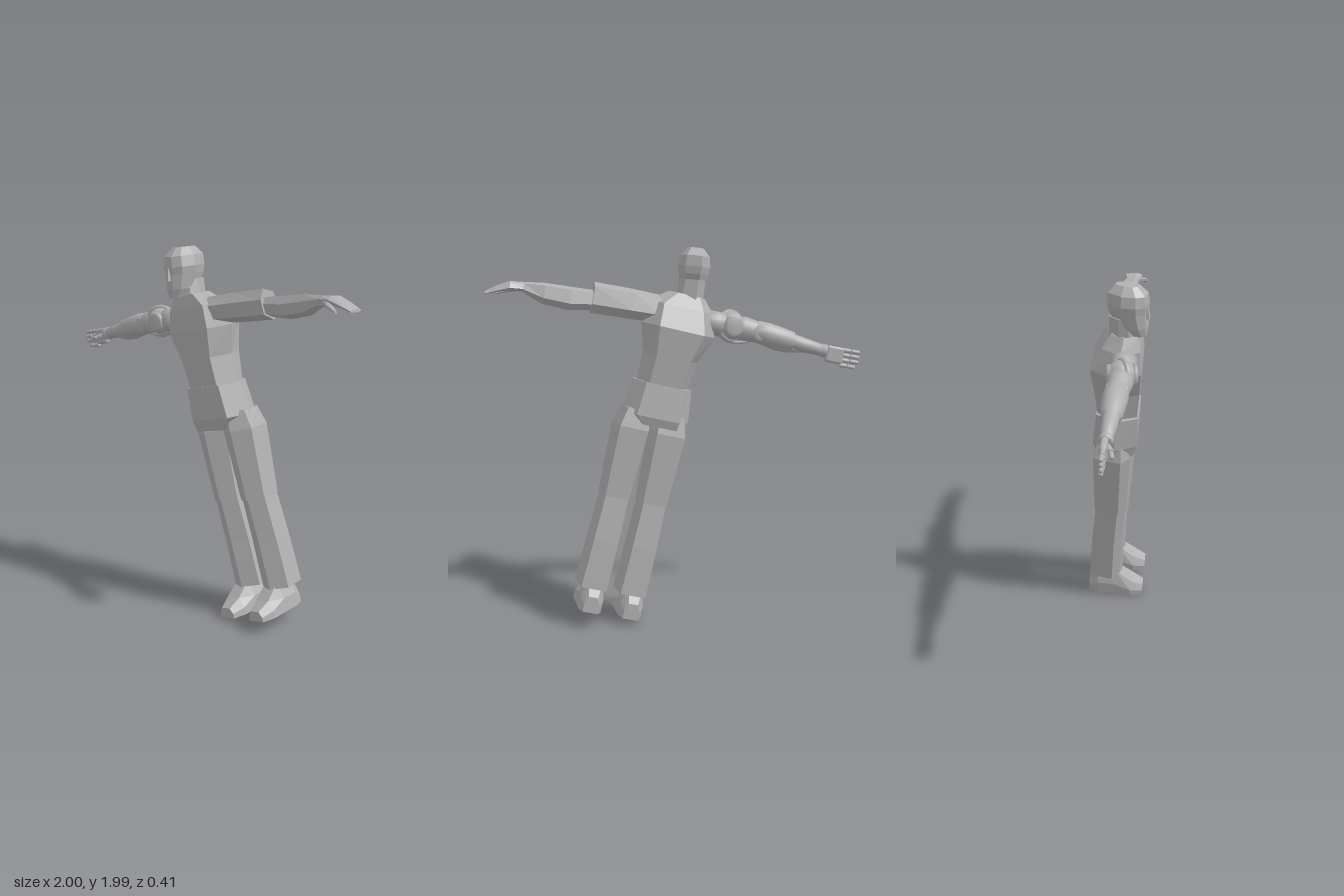
import * as THREE from 'three';
import { RoundedBoxGeometry } from 'three/addons/geometries/RoundedBoxGeometry.js';

const V = (x, y, z) => new THREE.Vector3(x, y, z);

// Cross-section outlines in (side, front) units
const HEX = [[0.72, 1], [1, 0], [0.6, -1], [-0.6, -1], [-1, 0], [-0.72, 1]];
const LEG = [[0.1, 1], [1, 0.4], [0.72, -1], [-0.72, -1], [-1, 0.4], [-0.5, 0.85]];
const OCT = [[0.45, 1], [0.9, 0.6], [1, -0.15], [0.5, -1], [-0.5, -1], [-1, -0.15], [-0.9, 0.6], [-0.45, 1]];
const DIAMOND = [[0.5, 1], [1, 0.35], [0.85, -0.6], [-0.3, -1], [-1, -0.4], [-0.7, 0.75]];
const WEDGE = [[1, 0], [0.7, 1], [-0.7, 1], [-1, 0]];

// Faceted closed skin through rings of equal length, always facing outwards
function loft(rings) {
  const n = rings[0].length, tris = [];
  for (let i = 0; i < rings.length - 1; i++) {
    for (let j = 0; j < n; j++) {
      const k = (j + 1) % n, [a, b] = [rings[i], rings[i + 1]];
      tris.push([a[j], a[k], b[k]], [a[j], b[k], b[j]]);
    }
  }
  const mid = r => r.reduce((s, p) => s.add(p), V(0, 0, 0)).divideScalar(n);
  const first = rings[0], last = rings[rings.length - 1];
  const c0 = mid(first), c1 = mid(last);
  for (let j = 0; j < n; j++) {
    const k = (j + 1) % n;
    tris.push([c0, first[k], first[j]], [c1, last[j], last[k]]);
  }
  let volume = 0;
  for (const [a, b, c] of tris) {
    volume += a.clone().sub(c0).dot(b.clone().sub(c0).cross(c.clone().sub(c0)));
  }
  const pts = tris.flatMap(t => (volume < 0 ? [t[0], t[2], t[1]] : t));
  const geo = new THREE.BufferGeometry().setFromPoints(pts);
  geo.computeVertexNormals();
  return geo;
}

// Ring around a centre: outline scaled by a along u and b along v
const ring = (shape, c, a, b, u, v) =>
  shape.map(([s, t]) => V(...c).addScaledVector(u, s * a).addScaledVector(v, t * b));
const X = V(1, 0, 0), Y = V(0, 1, 0), Z = V(0, 0, 1);

// Upright loft from rows [y, x, z, halfWidth, halfDepth]
const upright = (shape, rows) => loft(rows.map(([y, x, z, w, d]) => ring(shape, [x, y, z], w, d, X, Z)));
// Sideways loft from rows [x, y, z, halfHeight, halfDepth]
const sideways = (shape, rows) => loft(rows.map(([x, y, z, h, d]) =>
  ring(shape, [x, y, z], d, h, V(-0.12, 0, 1), V(-0.2, 0.98, 0))));

export function createModel() {
  const grey = new THREE.MeshStandardMaterial({ color: 0xb0b0b0 });
  grey.name = 'grey';
  const model = new THREE.Group();
  const add = (parent, name, geo) => {
    const mesh = new THREE.Mesh(geo, grey);
    mesh.name = name;
    parent.add(mesh);
    return mesh;
  };

  // Leaning, slightly turned body with its origin at the waist
  const body = new THREE.Group();
  body.name = 'body';
  body.position.set(0.11, 1.25, -0.04);
  body.rotation.set(0, -0.16, 0.24, 'ZYX');
  model.add(body);

  add(body, 'torso', upright(HEX, [
    [0, -0.01, 0, 0.14, 0.105], [0.17, -0.02, -0.005, 0.15, 0.12], [0.32, -0.028, -0.01, 0.2, 0.132],
    [0.44, -0.02, 0.015, 0.178, 0.1], [0.51, -0.04, 0.03, 0.1, 0.068]]));
  add(body, 'pelvis', upright(HEX, [
    [-0.22, -0.04, -0.01, 0.14, 0.1], [-0.155, -0.008, -0.01, 0.186, 0.12], [0.02, -0.01, 0, 0.165, 0.113]]));

  // Head and neck, turned towards the right
  const head = new THREE.Group();
  head.name = 'head';
  head.position.set(-0.05, 0.635, 0.045);
  head.rotation.set(0, -0.22, -0.13, 'ZYX');
  body.add(head);
  add(head, 'neck', upright(OCT, [[-0.16, 0.01, -0.02, 0.075, 0.07], [-0.04, 0, -0.025, 0.068, 0.068]]));
  add(head, 'skull', upright(OCT, [
    [-0.13, 0, 0.055, 0.042, 0.042], [-0.085, 0, 0.022, 0.066, 0.078], [-0.01, 0, 0, 0.08, 0.094],
    [0.03, 0, -0.002, 0.087, 0.1], [0.085, 0, -0.005, 0.078, 0.096], [0.127, 0, -0.01, 0.042, 0.058]]));
  add(head, 'nose', upright(WEDGE, [[-0.04, 0, 0.08, 0.018, 0.032], [0.025, 0, 0.085, 0.012, 0.016]]));

  // Legs and shoes
  for (const [label, s] of [['left', 1], ['right', -1]]) {
    add(body, label + 'Thigh', upright(LEG, [
      [-0.61, s * 0.103 + 0.004, -0.02, 0.088, 0.094], [-0.23, s * 0.1, -0.015, 0.105, 0.108],
      [-0.13, s * 0.09, -0.01, 0.085, 0.09]]));
    add(body, label + 'Shin', upright(LEG, [
      [-1.11, s * 0.107 + 0.017, -0.05, 0.094, 0.095], [-0.85, s * 0.105 + 0.01, -0.04, 0.09, 0.092],
      [-0.6, s * 0.103 + 0.004, -0.022, 0.084, 0.088]]));
    const outline = [[-0.15, 0.042, 0.085], [-0.1, 0.062, 0.16], [0, 0.066, 0.16], [0.1, 0.074, 0.09], [0.17, 0.05, 0.055]];
    const foot = add(body, label + 'Shoe', loft(outline.map(([z, w, h]) => [
      V(w, 0, z), V(w, h * 0.45, z), V(w * 0.6, h, z), V(-w * 0.6, h, z), V(-w, h * 0.45, z), V(-w, 0, z)])));
    foot.position.set(s * 0.109 + 0.007, -1.241, 0);
    foot.rotation.x = 0.02;
  }

  // Faceted left arm and hand
  const arm = new THREE.Group();
  arm.name = 'leftArm';
  model.add(arm);
  add(arm, 'sleeve', sideways(DIAMOND, [
    [0.1, 1.665, -0.01, 0.072, 0.08], [0.25, 1.693, 0, 0.078, 0.075], [0.455, 1.73, 0.02, 0.08, 0.062]]));
  add(arm, 'forearm', sideways(DIAMOND, [
    [0.44, 1.715, 0.02, 0.05, 0.045], [0.57, 1.725, 0.035, 0.06, 0.055],
    [0.7, 1.752, 0.06, 0.054, 0.05], [0.8, 1.785, 0.09, 0.026, 0.04]]));
  add(arm, 'hand', sideways(DIAMOND, [
    [0.79, 1.785, 0.09, 0.025, 0.038], [0.87, 1.793, 0.1, 0.023, 0.06],
    [0.94, 1.775, 0.118, 0.016, 0.054], [0.995, 1.757, 0.128, 0.008, 0.045]]));
  add(arm, 'thumb', sideways(DIAMOND, [
    [0.81, 1.782, 0.11, 0.018, 0.018], [0.87, 1.772, 0.16, 0.015, 0.02], [0.925, 1.752, 0.192, 0.008, 0.01]]));

  // Mechanical right arm: rounded shells turned around the limb axis
  const robot = new THREE.Group();
  robot.name = 'mechanicalArm';
  model.add(robot);
  const orient = (mesh, a, b) => {
    mesh.position.copy(a);
    mesh.quaternion.setFromUnitVectors(Y, b.clone().sub(a).normalize());
    return mesh;
  };
  const shell = (name, a, b, profile, sides = 20) => {
    const len = a.distanceTo(b);
    const pts = [[0, 0], ...profile, [0, 1]].map(([r, t]) => new THREE.Vector2(r, t * len));
    return orient(add(robot, name, new THREE.LatheGeometry(pts, sides)), a, b);
  };
  const pill = r => [[r * 0.7, 0.02], [r, 0.12], [r, 0.88], [r * 0.7, 0.98]];

  const shoulder = V(-0.29, 1.567, -0.055), elbow = V(-0.44, 1.53, -0.09), wrist = V(-0.79, 1.428, -0.165);
  shell('shoulderMount', V(-0.13, 1.595, -0.03), shoulder, [[0.07, 0], [0.065, 0.5], [0.06, 1]]);
  add(robot, 'shoulderBall', new THREE.SphereGeometry(0.077, 24, 16)).position.copy(shoulder);
  for (const s of [1, -1]) {
    shell('shoulderCap', V(-0.285, 1.567, -0.055 + s * 0.05), V(-0.285, 1.567, -0.055 + s * 0.08),
      [[0.055, 0], [0.055, 0.7], [0.04, 1]]);
  }
  const rim = add(robot, 'shoulderRing', new THREE.TorusGeometry(0.076, 0.014, 8, 28));
  rim.position.copy(shoulder);
  rim.rotation.set(0.15, 0.3, 0);
  shell('upperArm', V(-0.3, 1.565, -0.055), elbow, [[0.06, 0.05], [0.066, 0.4], [0.06, 0.8], [0.05, 1]]);
  // Cables looping under the shoulder
  for (const d of [0, 0.03]) {
    const path = new THREE.CatmullRomCurve3([V(-0.21, 1.53, d - 0.06), V(-0.28, 1.485 + d / 3, d - 0.06),
      V(-0.35, 1.48 + d / 3, d - 0.08), V(-0.42, 1.5, d - 0.09)]);
    add(robot, 'cable', new THREE.TubeGeometry(path, 16, 0.009, 8));
  }
  shell('elbowJoint', V(-0.435, 1.53, -0.145), V(-0.43, 1.53, -0.035), [[0.036, 0], [0.046, 0.1], [0.046, 0.9], [0.036, 1]]);
  shell('forearm', V(-0.38, 1.55, -0.08), wrist,
    [[0.038, 0.02], [0.058, 0.1], [0.064, 0.25], [0.06, 0.42], [0.053, 0.58], [0.042, 0.6], [0.039, 0.75], [0.032, 0.97]]);
  shell('forearmPlate', V(-0.46, 1.48, -0.1), V(-0.7, 1.43, -0.14),
    [[0.02, 0.03], [0.032, 0.25], [0.032, 0.6], [0.014, 0.97]]);
  shell('wristCuff', V(-0.775, 1.432, -0.162), V(-0.81, 1.424, -0.17), pill(0.036));

  // Mechanical hand
  const palm = add(robot, 'palm', new RoundedBoxGeometry(0.1, 0.092, 0.034, 3, 0.014));
  palm.position.set(-0.852, 1.404, -0.18);
  palm.rotation.set(0, -0.17, 0.2, 'ZYX');
  for (let i = 0; i < 4; i++) {
    const base = V(-0.896 + i * 0.006, 1.43 - i * 0.027, -0.185);
    const tip = V(i === 3 ? -0.968 : -0.996 + i * 0.004, base.y - 0.018, -0.203);
    const knuckle = base.clone().lerp(tip, 0.5);
    shell('fingerBase', base, knuckle, pill(0.0125), 10);
    shell('fingerTip', knuckle, tip, pill(0.011), 10);
  }
  shell('thumbBase', V(-0.825, 1.415, -0.165), V(-0.865, 1.4, -0.148), pill(0.016), 10);
  shell('thumbTip', V(-0.865, 1.4, -0.148), V(-0.91, 1.385, -0.148), pill(0.012), 10);

  return model;
}
